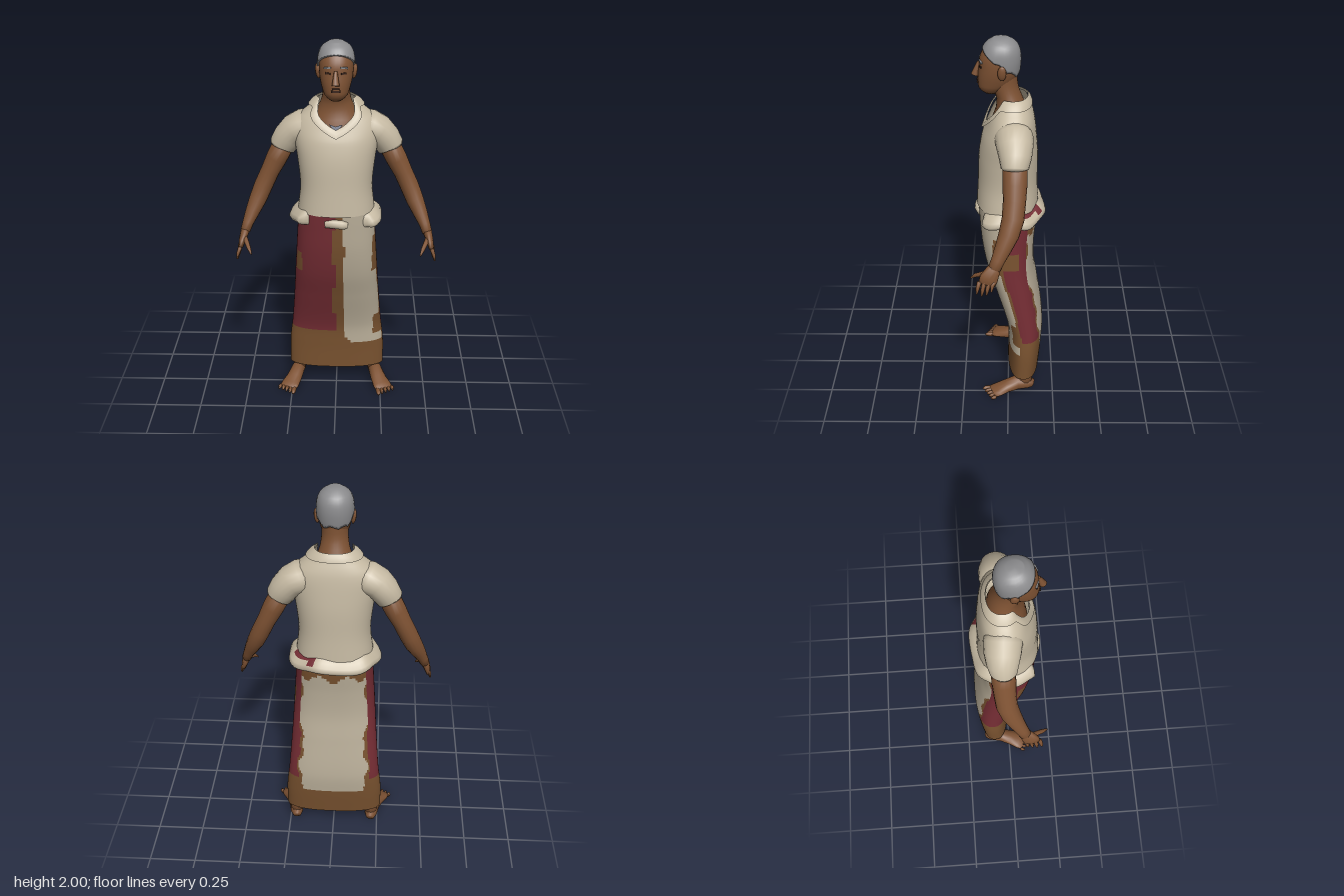
import * as THREE from 'three';

const mat = (name, color, side = THREE.FrontSide) => {
  const m = new THREE.MeshStandardMaterial({ color, side });
  m.name = name;
  return m;
};

// Cubic interpolation of table rows [y, halfWidth, zBack, zFront]
function sample(table, y) {
  let i = 0;
  while (i < table.length - 2 && y > table[i + 1][0]) i++;
  const p = k => table[Math.max(0, Math.min(table.length - 1, k))];
  const a = p(i), b = p(i + 1), h = b[0] - a[0];
  const f = Math.max(0, Math.min(1, (y - a[0]) / h));
  const slope = (k, c) => (p(k + 1)[c] - p(k - 1)[c]) / (p(k + 1)[0] - p(k - 1)[0]) * h;
  return [1, 2, 3].map(c => {
    const f2 = f * f, f3 = f2 * f;
    return (2 * f3 - 3 * f2 + 1) * a[c] + (f3 - 2 * f2 + f) * slope(i, c)
      + (3 * f2 - 2 * f3) * b[c] + (f3 - f2) * slope(i + 1, c);
  });
}

// Point on a rounded section; t = 0 is the front, t > 0 turns towards +x
function ovalPoint(table, y, t, n = 2, grow = 0, lift = 0) {
  const [rx, zb, zf] = sample(table, y);
  const pw = v => Math.sign(v) * Math.abs(v) ** (2 / n);
  return new THREE.Vector3((rx + grow) * pw(Math.sin(t)), y + lift,
    (zb + zf) / 2 + ((zf - zb) / 2 + grow) * pw(Math.cos(t)));
}
const ring = (m, fn) => Array.from({ length: m }, (_, j) => {
  const t = j / m * Math.PI * 2;
  return fn(t > Math.PI ? t - Math.PI * 2 : t);
});
const rows = (n, fn) => Array.from({ length: n + 1 }, (_, i) => fn(i / n));

// Skin a stack of rings; pick() chooses a material for each face
function loft(name, rings, mats, { capped = false, pick = () => 0 } = {}) {
  const list = [].concat(mats), m = rings[0].length, last = rings.length - 1;
  const pts = rings.flat(), buckets = list.map(() => []);
  for (let i = 0; i < last; i++) for (let j = 0; j < m; j++) {
    const k = (j + 1) % m, a = i * m + j, b = i * m + k, c = b + m, d = a + m;
    const mid = pts[a].clone().add(pts[c]).multiplyScalar(0.5);
    buckets[pick(mid, (j + 0.5) / m * Math.PI * 2)].push(a, b, c, a, c, d);
  }
  if (capped) for (const [r, flip] of [[0, true], [last, false]]) {
    const c = new THREE.Vector3();
    rings[r].forEach(p => c.addScaledVector(p, 1 / m));
    pts.push(c);
    for (let j = 0; j < m; j++) {
      const a = r * m + j, b = r * m + (j + 1) % m;
      buckets[0].push(pts.length - 1, flip ? b : a, flip ? a : b);
    }
  }
  const g = new THREE.BufferGeometry().setFromPoints(pts);
  g.setIndex(buckets.flat());
  let start = 0;
  buckets.forEach((b, i) => { g.addGroup(start, b.length, i); start += b.length; });
  g.computeVertexNormals();
  const mesh = new THREE.Mesh(g, Array.isArray(mats) ? list : mats);
  mesh.name = name;
  return mesh;
}

// Limb along points [x, y, z, halfA, halfB]; ref is the direction of halfB
function limb(name, path, material, s = 1, ref = new THREE.Vector3(0, 0, 1), m = 12) {
  const P = path.map(p => new THREE.Vector3(p[0] * s, p[1], p[2]));
  return loft(name, P.map((p, i) => {
    const T = P[Math.min(i + 1, P.length - 1)].clone().sub(P[Math.max(i - 1, 0)]).normalize();
    const B = ref.clone().addScaledVector(T, -T.dot(ref)).normalize();
    const A = T.clone().cross(B);
    return ring(m, t => p.clone().addScaledVector(A, path[i][3] * Math.sin(t)).addScaledVector(B, path[i][4] * Math.cos(t)));
  }), material, { capped: true });
}

const SHIRT = [[1.12, 0.2, -0.155, 0.165], [1.25, 0.187, -0.15, 0.157], [1.4, 0.2, -0.15, 0.15], [1.5, 0.215, -0.143, 0.132],
  [1.57, 0.215, -0.135, 0.105], [1.62, 0.185, -0.125, 0.085], [1.66, 0.135, -0.11, 0.065], [1.7, 0.095, -0.095, 0.05]];
const SKIRT = [[0.1, 0.268, -0.172, 0.002], [0.25, 0.265, -0.185, 0.0], [0.38, 0.25, -0.19, 0.008], [0.6, 0.232, -0.16, 0.07],
  [0.75, 0.222, -0.137, 0.115], [0.9, 0.212, -0.137, 0.142], [1.05, 0.202, -0.15, 0.153], [1.14, 0.192, -0.148, 0.157]];
const NECK = [[1.48, 0.13, -0.1, 0.1], [1.57, 0.13, -0.1, 0.085], [1.64, 0.1, -0.09, 0.062], [1.7, 0.075, -0.068, 0.06],
  [1.76, 0.066, -0.048, 0.085], [1.84, 0.065, -0.045, 0.09]];
const HEAD = [[1.72, 0.028, 0.05, 0.115], [1.745, 0.055, 0.015, 0.143], [1.78, 0.069, -0.025, 0.149], [1.82, 0.079, -0.045, 0.148],
  [1.86, 0.084, -0.052, 0.143], [1.9, 0.084, -0.054, 0.139], [1.94, 0.077, -0.047, 0.122], [1.97, 0.058, -0.028, 0.098], [1.99, 0.025, 0.005, 0.065]];

export function createModel() {
  const D = THREE.DoubleSide;
  const skin = mat('skin', 0x7e5233), cream = mat('shirt cream', 0xc6baa3, D), panel = mat('skirt cream', 0xb8ad98, D);
  const brown = mat('skirt brown', 0x76502e, D), maroon = mat('skirt maroon', 0x732c33, D), hair = mat('grey hair', 0x8b8b8d, D);
  const blue = mat('undershirt blue grey', 0x8f96a6, D), dark = mat('dark features', 0x3a241a);
  const model = new THREE.Group();
  model.name = 'standingMan';
  const add = (...o) => model.add(...o);

  // Wrapped skirt with coloured panels
  const skirtColour = (p, t) => {
    const { x, y, z } = p, [, zb, zf] = sample(SKIRT, y);
    const zr = (z - (zb + zf) / 2) / ((zf - zb) / 2);
    const wave = 0.012 * Math.sin(y * 19) + 0.006 * Math.sin(y * 47);
    if (zr < -0.7 && Math.abs(x) < 0.19 + wave) {                       // back panel
      if (y > 0.97 + 0.05 * Math.abs(Math.sin(x * 22))) return 1;
      return y > 0.26 && Math.abs(x) < 0.175 + wave ? 0 : 1;
    }
    if (x < -0.012 + wave / 3) {                                       // right side
      if (zr < -0.72 || y < 0.345) return 1;
      return x < -0.18 && zr < 0.75 && zr > 0.35 && y > 0.76 && y < 0.88 ? 1 : 2;
    }
    if (x < 0.04 - wave / 3) return 1;
    if (zr > 0.32 + wave * 3) {                                        // front left panel
      if (y < 0.26 + 0.06 * Math.max(0, 1 - (x - 0.04) / 0.06) ** 2) return 1;
      if (x > 0.19 && zr < 0.78 && y > 0.74 + wave * 3 && y < 0.98) return 1;
      return x > 0.205 && zr < 0.88 && y > 0.31 && y < 0.4 + wave * 2 ? 1 : 0;
    }
    if (y < 0.34 || zr < -0.76 + wave || zr > 0.2 + wave * 3) return 1; // left side
    return y > 0.8 + wave && y < 0.93 + wave * 2 && zr > -0.4 ? 1 : 2;
  };
  add(loft('skirt', rows(64, f => ring(112, t => ovalPoint(SKIRT, 0.1 + 1.04 * f, t, 2.5))),
    [panel, brown, maroon], { pick: skirtColour }));

  // Folded cloth around the hips, tucked away in front
  const foldProfile = [[1.05, 0], [1.058, 0.032], [1.075, 0.043], [1.095, 0.036], [1.115, 0.018], [1.13, 0.0]];
  add(loft('hipFold', foldProfile.map(([y, out]) => ring(64, t => {
    const k = Math.max(0, Math.min(1, (Math.abs(t) - 0.62) / 0.25));
    return ovalPoint(SKIRT, y, t, 2.4, k * (out + 0.005 * Math.sin(t * 7)) - 0.015 * (1 - k), 0.008 * Math.sin(t * 5));
  })), [cream, maroon], { pick: (p, t) => (p.y > 1.105 && t > 1.9 && t < 2.7 ? 1 : 0) }));
  add(limb('waistKnot', [[-0.055, 1.075, 0.15, 0.014, 0.02], [-0.01, 1.08, 0.155, 0.022, 0.025],
    [0.03, 1.075, 0.155, 0.022, 0.025], [0.06, 1.07, 0.15, 0.012, 0.02]], cream, 1, new THREE.Vector3(0, 1, 0), 8));

  // Shirt with a V neck and a turned collar
  const neckline = t => 1.7 - 0.14 * Math.max(0, 1 - Math.abs(t) / 0.95);
  add(loft('shirt', rows(22, f => ring(56, t => {
    const y = 1.12 + 0.58 * f;
    return ovalPoint(SHIRT, y < 1.5 ? y : 1.5 + (y - 1.5) * (neckline(t) - 1.5) / 0.2, t, 2.25);
  })), cream));
  add(loft('collar', [[0.035, 0.012, 0.006], [0.016, 0.011, 0.01], [0, 0.002, 0.01]].map(([down, grow, lift]) =>
    ring(56, t => ovalPoint(SHIRT, neckline(t) - down, t, 2.25, grow, lift))), cream));
  const vee = new THREE.Shape([[0, 1.55], [0.034, 1.6], [0, 1.588], [-0.034, 1.6]].map(p => new THREE.Vector2(...p)));
  const inset = new THREE.Mesh(new THREE.ShapeGeometry(vee), blue);
  inset.name = 'undershirt';
  inset.position.z = 0.106;
  add(inset);

  // Neck and head
  add(loft('neck', rows(14, f => ring(28, t => ovalPoint(NECK, 1.48 + 0.36 * f, t))), skin));
  add(loft('head', rows(18, f => ring(32, t => ovalPoint(HEAD, 1.72 + 0.27 * f, t, 2.2))), skin, { capped: true }));
  const hairline = t => {
    const a = Math.abs(t);
    return a < 1.3 ? 1.95 - 0.045 * (a / 1.3) ** 2 : 1.905 - 0.08 * Math.min(1, (a - 1.3) / 1.1) + 0.008 * Math.sin(t * 9);
  };
  add(loft('hair', rows(12, f => ring(32, t =>
    ovalPoint(HEAD, THREE.MathUtils.lerp(hairline(t), 1.99, f), t, 2.2, 0.009, 0.009 * f))), hair, { capped: true }));

  // Facial features
  const faceZ = (x, y) => {
    const [rx, zb, zf] = sample(HEAD, y);
    return (zb + zf) / 2 + (zf - zb) / 2 * (1 - (Math.abs(x) / rx) ** 2.2) ** (1 / 2.2);
  };
  const feature = (name, geo, material, x, y, out = 0, rx = 0, ry = 0, rz = 0) => {
    const m = new THREE.Mesh(geo, material);
    m.name = name;
    m.position.set(x, y, faceZ(x, y) + out);
    m.rotation.set(rx, ry, rz);
    add(m);
    return m;
  };
  feature('nose', new THREE.CylinderGeometry(0.008, 0.019, 0.07, 8), skin, 0, 1.845, 0.008, -0.3);
  feature('mouth', new THREE.BoxGeometry(0.044, 0.009, 0.008), dark, 0, 1.78);
  feature('moustache', new THREE.BoxGeometry(0.034, 0.006, 0.008), dark, 0, 1.792);
  for (const s of [1, -1]) {
    feature('eyebrow', new THREE.BoxGeometry(0.036, 0.008, 0.009), hair, s * 0.04, 1.892, 0.001, 0, s * 0.3, -s * 0.15);
    feature('eye', new THREE.BoxGeometry(0.026, 0.009, 0.006), dark, s * 0.038, 1.865, 0, 0, s * 0.3);
    feature('eyeShine', new THREE.BoxGeometry(0.008, 0.006, 0.008), blue, s * 0.045, 1.865, 0, 0, s * 0.3);
    const ear = new THREE.Mesh(new THREE.SphereGeometry(1, 10, 8), skin);
    ear.name = 'ear';
    ear.scale.set(0.013, 0.038, 0.022);
    ear.position.set(s * 0.09, 1.85, 0.03);
    ear.rotation.z = -s * 0.12;
    add(ear);
  }

  // Sleeves, arms, hands, legs and feet
  const up = new THREE.Vector3(0, 1, 0);
  for (const s of [1, -1]) {
    add(limb('sleeve', [[0.278, 1.437, -0.033, 0.062, 0.06], [0.277, 1.44, -0.033, 0.07, 0.068], [0.25, 1.485, -0.035, 0.076, 0.08],
      [0.215, 1.525, -0.033, 0.08, 0.09], [0.165, 1.55, -0.028, 0.085, 0.095], [0.11, 1.57, -0.02, 0.07, 0.08]], cream, s, undefined, 20));
    add(limb('arm', [[0.478, 0.995, 0.065, 0.026, 0.032], [0.464, 1.035, 0.048, 0.029, 0.034], [0.44, 1.09, 0.022, 0.038, 0.042],
      [0.412, 1.15, -0.005, 0.046, 0.051], [0.382, 1.22, -0.025, 0.049, 0.055], [0.345, 1.3, -0.032, 0.049, 0.056],
      [0.31, 1.37, -0.034, 0.055, 0.06], [0.265, 1.46, -0.034, 0.056, 0.06]], skin, s, undefined, 16));
    add(limb('palm', [[0.5, 0.92, 0.102, 0.013, 0.042], [0.494, 0.95, 0.092, 0.018, 0.046], [0.478, 1.0, 0.066, 0.024, 0.033]], skin, s));
    for (let i = 0; i < 4; i++) {
      const z = 0.068 + i * 0.024, drop = [0.885, 0.865, 0.86, 0.872][i];
      add(limb('finger', [[0.517, drop, z + 0.012, 0.003, 0.004], [0.511, drop + 0.03, z + 0.007, 0.009, 0.01],
        [0.499, 0.935, z - 0.002, 0.011, 0.012]], skin, s, undefined, 8));
    }
    add(limb('thumb', [[0.438, 0.915, 0.182, 0.004, 0.005], [0.452, 0.94, 0.158, 0.011, 0.011],
      [0.48, 0.975, 0.095, 0.014, 0.016]], skin, s, undefined, 8));
    add(limb('leg', [[0.216, 0.04, -0.09, 0.036, 0.044], [0.213, 0.1, -0.092, 0.037, 0.043], [0.195, 0.22, -0.094, 0.048, 0.05],
      [0.17, 0.42, -0.085, 0.055, 0.055]], skin, s));
    add(limb('foot', [[0.212, 0.026, -0.138, 0.022, 0.025], [0.215, 0.038, -0.11, 0.036, 0.038], [0.226, 0.043, -0.05, 0.038, 0.043],
      [0.243, 0.03, 0.01, 0.044, 0.03], [0.262, 0.019, 0.06, 0.052, 0.018], [0.274, 0.014, 0.09, 0.05, 0.013]], skin, s, up, 14));
    for (let i = 0; i < 5; i++) {
      const x = 0.235 + i * 0.02, tip = 0.142 - i * 0.012, r = i ? 0.0095 : 0.013;
      add(limb('toe', [[x, 0.013, 0.07, r, 0.012], [x + 0.006, 0.013, tip - 0.015, r, 0.012], [x + 0.008, 0.008, tip, r * 0.5, 0.006]], skin, s, up, 8));
    }
  }
  return model;
}
